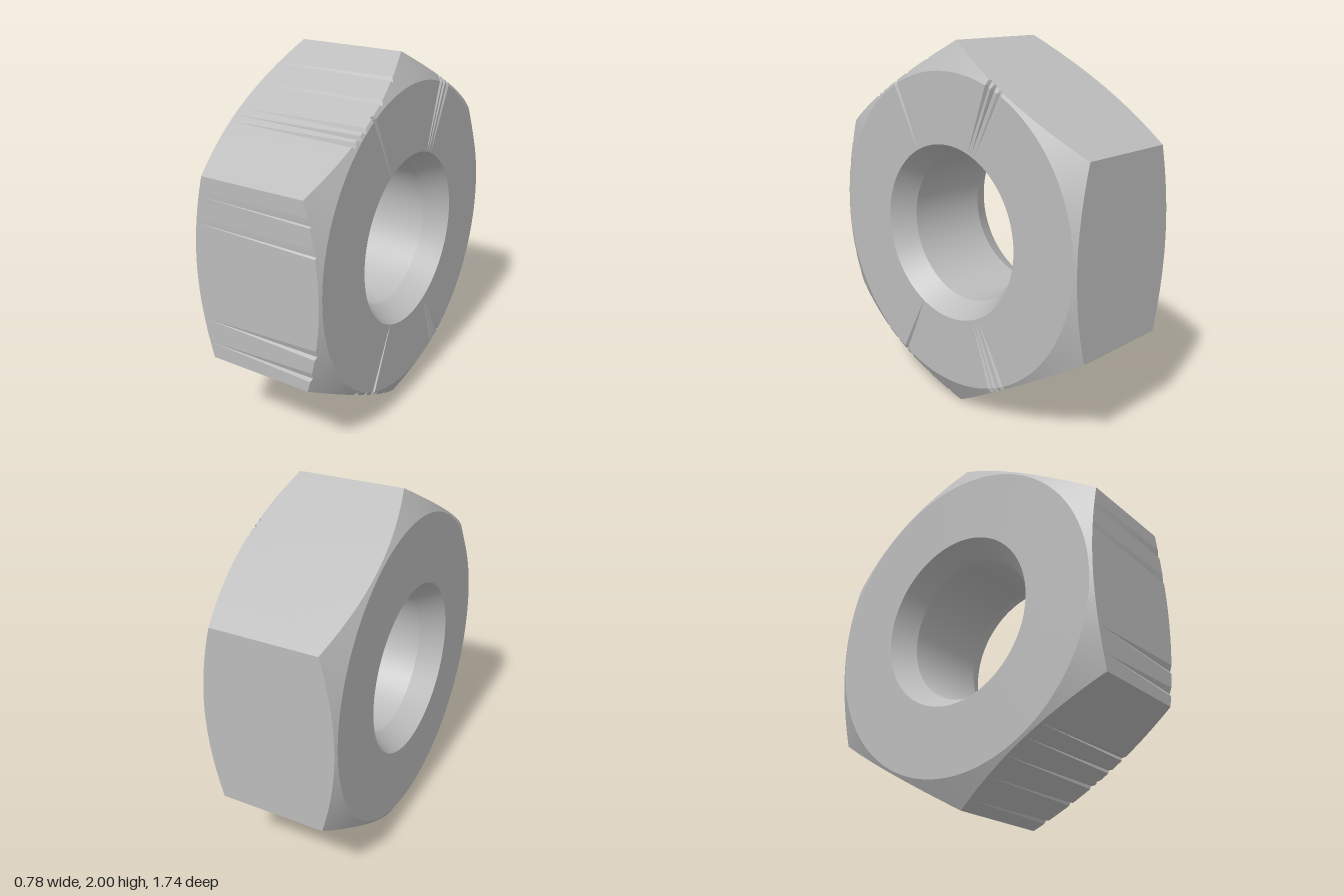
import * as THREE from 'three';
import { toCreasedNormals } from 'three/addons/utils/BufferGeometryUtils.js';

const BORE = 0.4, SINK = 0.475, SINK_DEPTH = 0.13;
const HALF = 0.375, FLAT = Math.sqrt(3) / 2, FACE = 0.85, SLOPE = 0.55;
const rad = THREE.MathUtils.degToRad;

// Worn notches in the three front flats: [angle, half width, depth]
const NOTCHES = [
  [10.7, 0.8, 0.012], [20.7, 1, 0.015], [32.8, 1, 0.018], [36.2, 0.9, 0.02], [39.2, 1, 0.02],
  [65.5, 1.2, 0.012], [73.9, 1.5, 0.008], [108, 1.6, 0.012], [115.5, 1.4, 0.012],
  [142, 1, 0.018], [148.7, 1, 0.018], [157.3, 1, 0.018], [166.5, 0.8, 0.015], [175.8, 0.8, 0.015],
];
// Radial grooves in the +x face: [angle, half width, depth]
const GROOVES = [
  [27.2, 0.8, 0.02], [154.3, 0.9, 0.02],
  [201.5, 1, 0.02], [204, 0.9, 0.02], [207.5, 1, 0.012],
  [333.7, 1.1, 0.012], [337, 0.9, 0.02], [339.7, 0.9, 0.02],
];

// Angular columns: a regular sweep, with extra columns wherever the nut is scratched
function makeColumns() {
  const cuts = [...NOTCHES, ...GROOVES];
  const columns = [];
  for (let t = 0; t < 360; t += 2) {
    if (!cuts.some(([c, w]) => Math.abs(t - c) <= w + 0.05)) columns.push({ t, end: t, notch: 0, groove: 0 });
  }
  for (const [c, w, d] of NOTCHES) {
    [[-w, 0], [0.5 * w, d], [w, 0]].forEach(([o, notch], i) =>
      columns.push({ t: c + o, end: c + (i - 1) * 0.08, notch, groove: 0 }));
  }
  for (const [c, w, d] of GROOVES) {
    [[-w, 0], [0.3 * w, d], [w, 0]].forEach(([o, groove]) =>
      columns.push({ t: c + o, end: c + o, notch: 0, groove }));
  }
  return columns.sort((a, b) => a.t - b.t);
}

const hexRadius = (t) => FLAT / Math.cos(rad((t % 60) - 30));
const chamferX = (r) => HALF - SLOPE * Math.max(0, r - FACE);

// Closed cross-section of the nut at one column: [angle, radius, x]
function section({ t, end, notch, groove }) {
  const back = hexRadius(end), front = hexRadius(t) - notch;
  return [
    [t, BORE, SINK_DEPTH - HALF],
    [t, SINK, -HALF],
    [end, FACE, -HALF],
    [end, back, -chamferX(back)],
    [t, front, chamferX(front) - groove * 0.7],
    [t, Math.min(FACE, front - 0.002), HALF - groove],
    [t, SINK, HALF],
    [t, BORE, HALF - SINK_DEPTH],
  ];
}

function nutGeometry() {
  const columns = makeColumns(), positions = [], index = [];
  const n = 8, m = columns.length;
  columns.forEach((column, i) => {
    section(column).forEach(([t, r, x], j) => {
      positions.push(x, r * Math.cos(rad(t)), r * Math.sin(rad(t)));
      const i2 = (i + 1) % m, j2 = (j + 1) % n;
      const a = i * n + j, b = i * n + j2, c = i2 * n + j2, d = i2 * n + j;
      index.push(a, d, c, a, c, b);
    });
  });
  const geometry = new THREE.BufferGeometry();
  geometry.setAttribute('position', new THREE.Float32BufferAttribute(positions, 3));
  geometry.setIndex(index);
  return toCreasedNormals(geometry, 0.3);
}

export function createModel() {
  const steel = new THREE.MeshStandardMaterial({ color: 0xbcbcbc });
  steel.name = 'steel grey';

  const nut = new THREE.Mesh(nutGeometry(), steel);
  nut.name = 'hexNut';
  nut.position.y = 1;
  nut.rotation.y = -0.018; // sits very slightly askew

  const model = new THREE.Group();
  model.name = 'nut';
  model.add(nut);
  return model;
}
